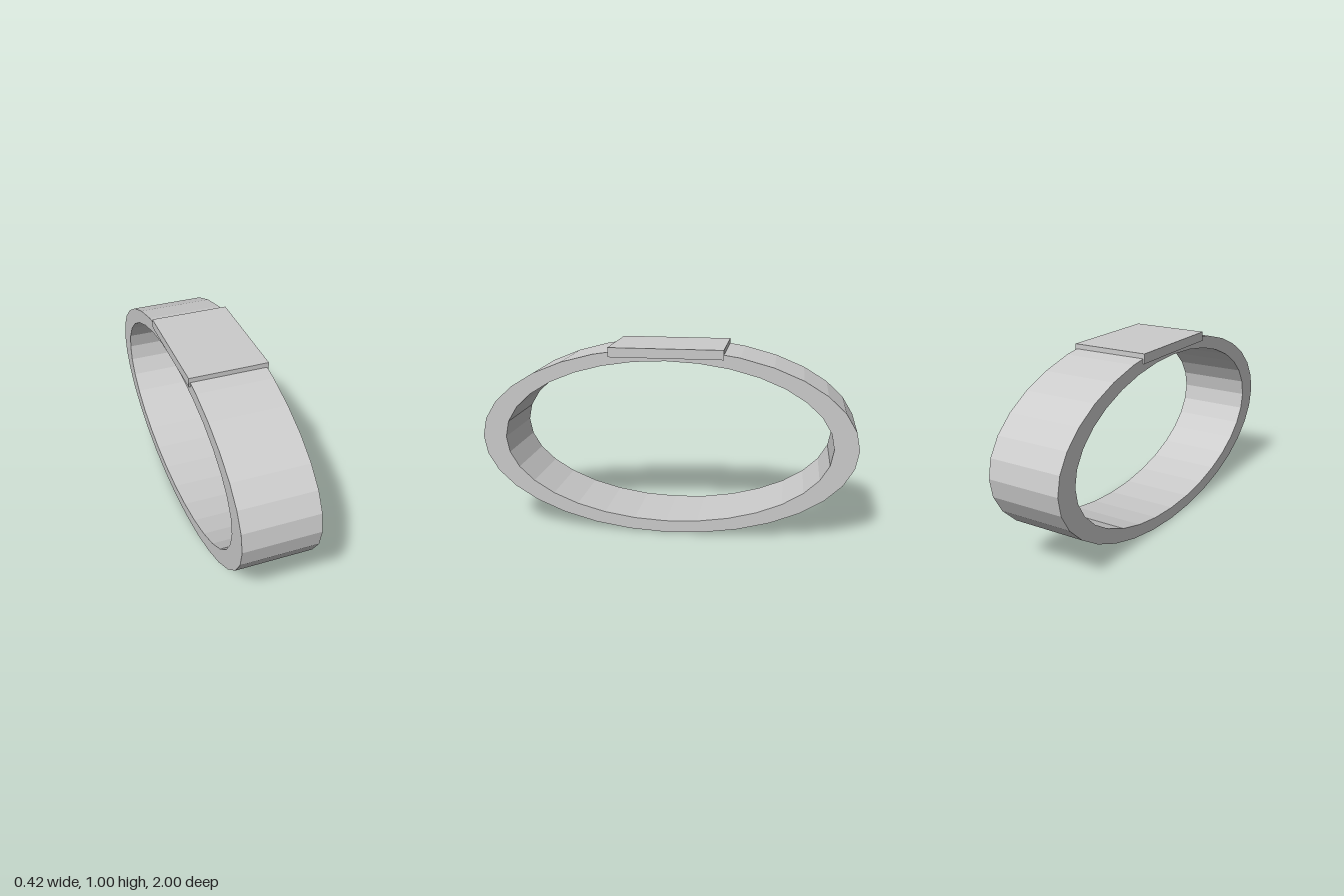
import * as THREE from 'three';

const SEGMENTS = 32;

// Points of a faceted ellipse around the origin
function ellipsePoints(a, b) {
  return Array.from({ length: SEGMENTS }, (_, i) => {
    const t = (i / SEGMENTS) * Math.PI * 2;
    return new THREE.Vector2(Math.cos(t) * a, Math.sin(t) * b);
  });
}

export function createModel() {
  const model = new THREE.Group();
  model.name = 'ring';
  const grey = new THREE.MeshStandardMaterial({ color: 0xcccccc });
  grey.name = 'light grey';

  // Oval band, extruded across its width
  const width = 0.4;
  const profile = new THREE.Shape(ellipsePoints(1, 0.5));
  profile.holes.push(new THREE.Path(ellipsePoints(0.872, 0.436)));
  const bandGeometry = new THREE.ExtrudeGeometry(profile, { depth: width, bevelEnabled: false });
  bandGeometry.translate(0, 0, -width / 2);
  bandGeometry.rotateY(Math.PI / 2);
  const band = new THREE.Mesh(bandGeometry, grey);
  band.name = 'band';
  band.position.y = 0.5;
  model.add(band);

  // Flat plate set into the top of the band, slightly wider than it
  const plate = new THREE.Mesh(new THREE.BoxGeometry(0.416, 0.05, 0.6), grey);
  plate.name = 'topPlate';
  plate.position.y = 0.975;
  model.add(plate);

  return model;
}
